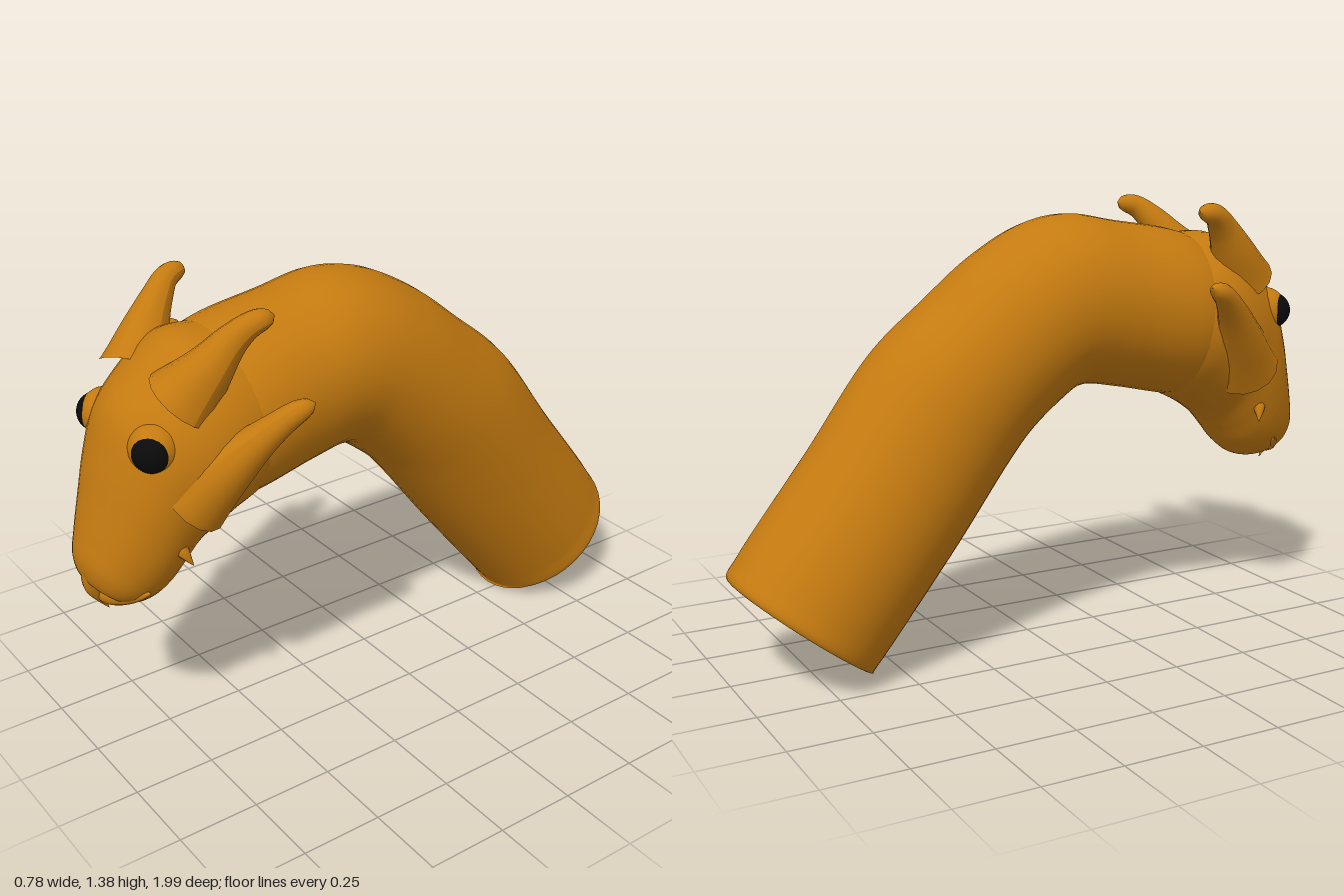
import * as THREE from 'three';

const skin = new THREE.MeshStandardMaterial({ color: 0xc47a10 });
const black = new THREE.MeshStandardMaterial({ color: 0x0a0a0a });
const V = (p) => new THREE.Vector3(...p);

// Smooth skin through oval sections: [topZ, topY, bottomZ, bottomY, halfWidth, centreX]
function loft(rows, steps, sides = 40) {
  const tops = new THREE.CatmullRomCurve3(rows.map(r => V([r[5] ?? 0, r[1], r[0]])));
  const bots = new THREE.CatmullRomCurve3(rows.map(r => V([r[4], r[3], r[2]])));
  const pos = [], idx = [];
  const ring = (t) => {
    const a = tops.getPoint(t), b = bots.getPoint(t);
    const cy = (a.y + b.y) / 2, cz = (a.z + b.z) / 2;
    for (let j = 0; j < sides; j++) {
      const th = j / sides * Math.PI * 2, s = Math.sin(th);
      pos.push(a.x + b.x * Math.cos(th), cy + s * (a.y - b.y) / 2, cz + s * (a.z - b.z) / 2);
    }
    return [a.x, cy, cz];
  };
  for (let i = 0; i <= steps; i++) {
    ring(i / steps);
    if (i === steps) break;
    for (let j = 0; j < sides; j++) {
      const k = (j + 1) % sides, p = i * sides;
      idx.push(p + j, p + k, p + sides + j, p + k, p + sides + k, p + sides + j);
    }
  }
  // Flat caps with their own vertices, so the rim stays crisp
  for (const t of [0, 1]) {
    const s = pos.length / 3;
    pos.push(...ring(t));
    for (let j = 0; j < sides; j++) {
      const k = (j + 1) % sides;
      if (t) idx.push(s + sides, s + j, s + k);
      else idx.push(s + sides, s + k, s + j);
    }
  }
  const g = new THREE.BufferGeometry();
  g.setAttribute('position', new THREE.Float32BufferAttribute(pos, 3));
  g.setIndex(idx);
  g.computeVertexNormals();
  return g;
}

// Tube whose radius follows a rule along its path
function taperedTube(points, radius, n = 28, sides = 16) {
  const curve = new THREE.CatmullRomCurve3(points.map(V));
  const g = new THREE.TubeGeometry(curve, n, 1, sides);
  const p = g.attributes.position, v = new THREE.Vector3();
  for (let i = 0; i < p.count; i++) {
    const t = Math.floor(i / (sides + 1)) / n, c = curve.getPointAt(t);
    v.fromBufferAttribute(p, i).sub(c).multiplyScalar(radius(t)).add(c);
    p.setXYZ(i, v.x, v.y, v.z);
  }
  g.computeVertexNormals();
  return g;
}

// Flared base, slim shaft and rounded tip
const hornRadius = (base, tip) => (t) =>
  (tip + (base - tip) * (1 - t) ** 1.6) * Math.sqrt(Math.max(0, 1 - Math.max(0, (t - 0.86) / 0.14) ** 2));

export function createModel() {
  const group = new THREE.Group();
  const add = (name, geo, mat = skin) => {
    const m = new THREE.Mesh(geo, mat);
    m.name = name;
    group.add(m);
    return m;
  };

  // Arched neck, from its cut base to the back of the skull
  add('neck', loft([
    [-0.96, 0.31, -0.58, 0.01, 0.235, -0.035],
    [-0.995, 0.34, -0.58, 0.02, 0.258, -0.035],
    [-0.96, 0.40, -0.53, 0.08, 0.26, -0.035],
    [-0.73, 0.69, -0.29, 0.37, 0.26, -0.022],
    [-0.51, 0.97, -0.10, 0.61, 0.26, -0.005],
    [-0.33, 1.12, -0.03, 0.69, 0.26],
    [-0.17, 1.245, 0.06, 0.765, 0.26],
    [0.0, 1.335, 0.13, 0.81, 0.26],
    [0.14, 1.36, 0.19, 0.818, 0.262],
    [0.3, 1.335, 0.3, 0.80, 0.265],
    [0.56, 1.285, 0.52, 0.755, 0.265],
    [0.66, 1.22, 0.58, 0.76, 0.22],
  ], 88));

  // Skull narrowing down to the snout
  add('head', loft([
    [0.45, 1.26, 0.46, 0.79, 0.25],
    [0.57, 1.285, 0.51, 0.75, 0.272],
    [0.67, 1.28, 0.56, 0.725, 0.275],
    [0.77, 1.21, 0.61, 0.695, 0.265],
    [0.87, 1.11, 0.66, 0.655, 0.235],
    [0.92, 0.98, 0.70, 0.61, 0.215],
    [0.955, 0.85, 0.74, 0.56, 0.19],
    [0.982, 0.75, 0.79, 0.52, 0.16],
    [0.999, 0.67, 0.84, 0.508, 0.13],
    [0.99, 0.61, 0.89, 0.52, 0.09],
    [0.965, 0.575, 0.93, 0.545, 0.03],
  ], 80));

  // Hooked beak tip and crescent lower lip
  add('beakTip', taperedTube(
    [[0, 0.66, 0.95], [0, 0.58, 0.965], [0, 0.53, 0.945], [0, 0.487, 0.92]],
    t => 0.045 * (1 - t) + 0.001));
  add('lowerLip', taperedTube(
    [[-0.16, 0.592, 0.86], [-0.1, 0.565, 0.89], [0, 0.545, 0.925], [0.1, 0.565, 0.89], [0.16, 0.592, 0.86]],
    t => 0.032 * Math.sin(Math.PI * t) ** 0.8 + 0.001));

  for (const s of [1, -1]) {
    const side = s > 0 ? 'left' : 'right';

    // Crown horn, sweeping up and back
    add(side + 'CrownHorn', taperedTube(
      [[s * 0.13, 1.14, 0.71], [s * 0.175, 1.23, 0.65], [s * 0.205, 1.31, 0.59], [s * 0.23, 1.355, 0.54], [s * 0.243, 1.37, 0.475]],
      hornRadius(0.11, 0.03)));

    // Cheek horn, flaring out from the jaw
    add(side + 'CheekHorn', taperedTube(
      [[s * 0.16, 0.86, 0.71], [s * 0.24, 0.96, 0.64], [s * 0.31, 1.06, 0.56], [s * 0.355, 1.125, 0.49], [s * 0.375, 1.15, 0.435]],
      hornRadius(0.12, 0.03)));

    // Small spike at the corner of the mouth
    add(side + 'JawSpike', taperedTube(
      [[s * 0.13, 0.74, 0.78], [s * 0.185, 0.715, 0.77], [s * 0.215, 0.672, 0.75]],
      t => 0.045 * (1 - t) + 0.001, 12, 10));

    // Eye and its raised socket
    const socket = add(side + 'EyeSocket', new THREE.SphereGeometry(0.075, 28, 18));
    socket.position.set(s * 0.142, 1.03, 0.808);
    const eye = add(side + 'Eye', new THREE.SphereGeometry(0.058, 28, 18), black);
    eye.position.set(s * 0.163, 1.03, 0.828);

    // Nostril rim
    const nostril = add(side + 'Nostril', new THREE.TorusGeometry(0.018, 0.008, 10, 20));
    nostril.position.set(s * 0.072, 0.645, 0.968);
    nostril.scale.y = 1.4;
    nostril.rotation.set(0.1, s * 0.6, -s * 0.3);
  }
  return group;
}
